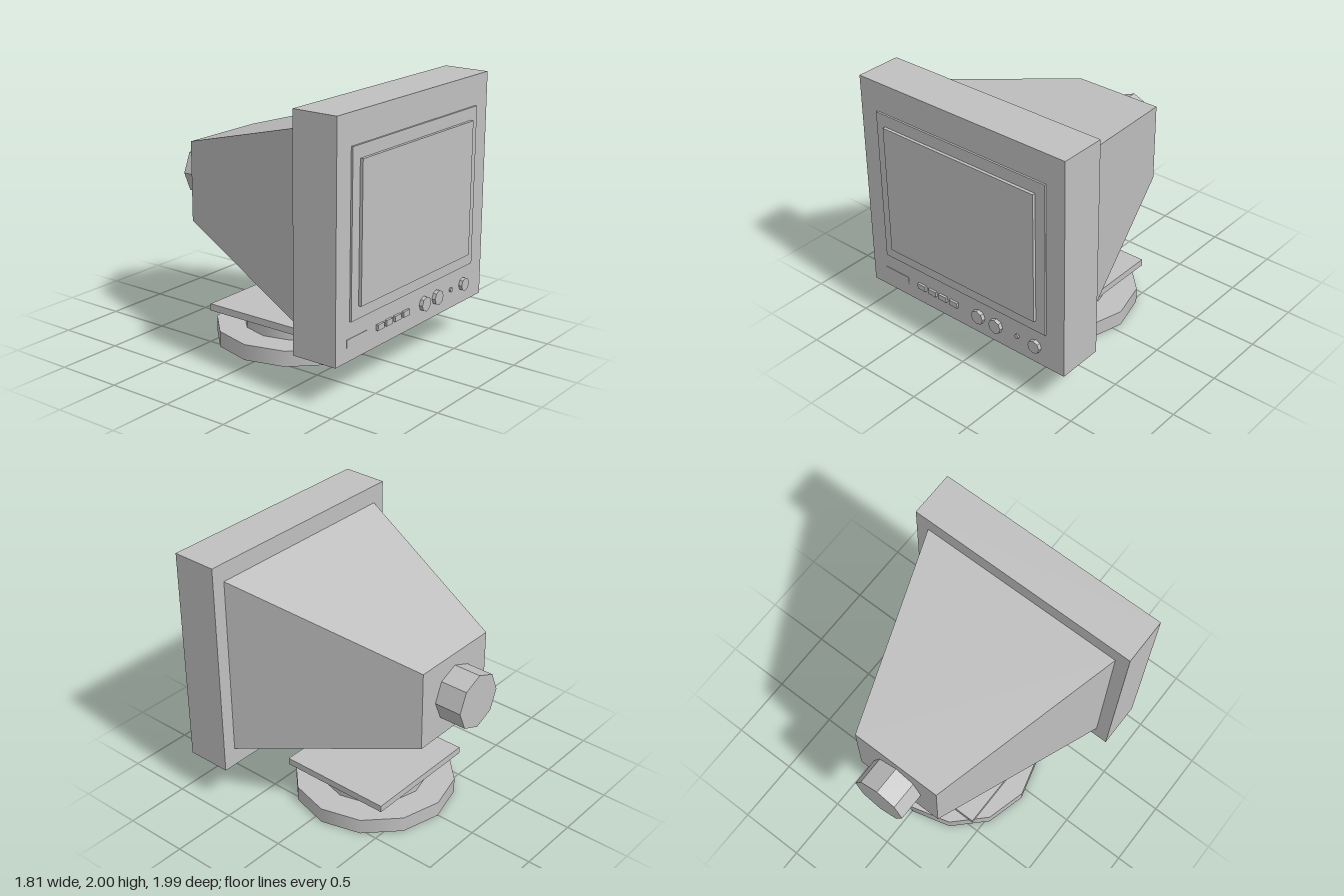
import * as THREE from 'three';

const grey = new THREE.MeshStandardMaterial({ color: 0xc0c0c0 });
grey.name = 'casing grey';

export function createModel() {
  const model = new THREE.Group();
  model.name = 'deskMonitor';

  const add = (name, geometry, x, y, z) => {
    const mesh = new THREE.Mesh(geometry, grey);
    mesh.name = name;
    mesh.position.set(x, y, z);
    model.add(mesh);
    return mesh;
  };

  // Box given by its extents on each axis
  const box = (name, [x0, x1], [y0, y1], [z0, z1]) =>
    add(name, new THREE.BoxGeometry(x1 - x0, y1 - y0, z1 - z0),
      (x0 + x1) / 2, (y0 + y1) / 2, (z0 + z1) / 2);

  // Flat-sided cylinder lying along z
  const facetedZ = (name, r, sides, x, y, [z0, z1]) => {
    const g = new THREE.CylinderGeometry(r, r, z1 - z0, sides).rotateX(Math.PI / 2).toNonIndexed();
    g.computeVertexNormals();
    return add(name, g, x, y, (z0 + z1) / 2);
  };

  // Front housing, bezel and raised screen
  const face = 0.957;
  box('frontHousing', [-0.903, 0.903], [0.31, 2], [0.605, face]);
  box('bezel', [-0.75, 0.75], [0.59, 1.777], [face, 0.971]);
  box('screen', [-0.67, 0.67], [0.68, 1.685], [0.971, 0.994]);

  // Tapered tube housing: a box with its back face shrunk
  const taper = new THREE.BoxGeometry(1.6, 1.405, 1.39).toNonIndexed();
  const p = taper.attributes.position;
  for (let i = 0; i < p.count; i++) {
    if (p.getZ(i) < 0) {
      p.setX(i, Math.sign(p.getX(i)) * 0.355);
      p.setY(i, Math.sign(p.getY(i)) * 0.305);
    }
  }
  taper.computeVertexNormals();
  add('rearHousing', taper, 0, 1.157, -0.09);

  // Octagonal tube neck
  facetedZ('tubeNeck', 0.21, 8, 0, 1.155, [-0.995, -0.785]);

  // Control row
  const rowY = 0.453;
  for (const x of [-0.407, -0.304, -0.201, -0.096]) {
    box('pushButton', [x - 0.037, x + 0.037], [rowY - 0.021, rowY + 0.021], [face, 0.975]);
  }
  for (const [x, r] of [[0.138, 0.055], [0.302, 0.055], [0.655, 0.05]]) {
    facetedZ('controlKnob', r, 8, x, rowY, [face, 0.985]);
  }
  facetedZ('indicatorLamp', 0.018, 8, 0.492, rowY, [face, 0.97]);
  box('blankPlate', [-0.78, -0.55], [0.41, 0.47], [face, 0.961]);

  // Swivel stand
  const standZ = -0.073;
  add('standBase', new THREE.CylinderGeometry(0.612, 0.612, 0.12, 12), 0, 0.06, standZ);
  add('swivelDisc', new THREE.CylinderGeometry(0.4, 0.4, 0.105, 12), 0, 0.1725, standZ);
  box('standPlate', [-0.468, 0.468], [0.232, 0.285], [standZ - 0.449, standZ + 0.449]);

  return model;
}
